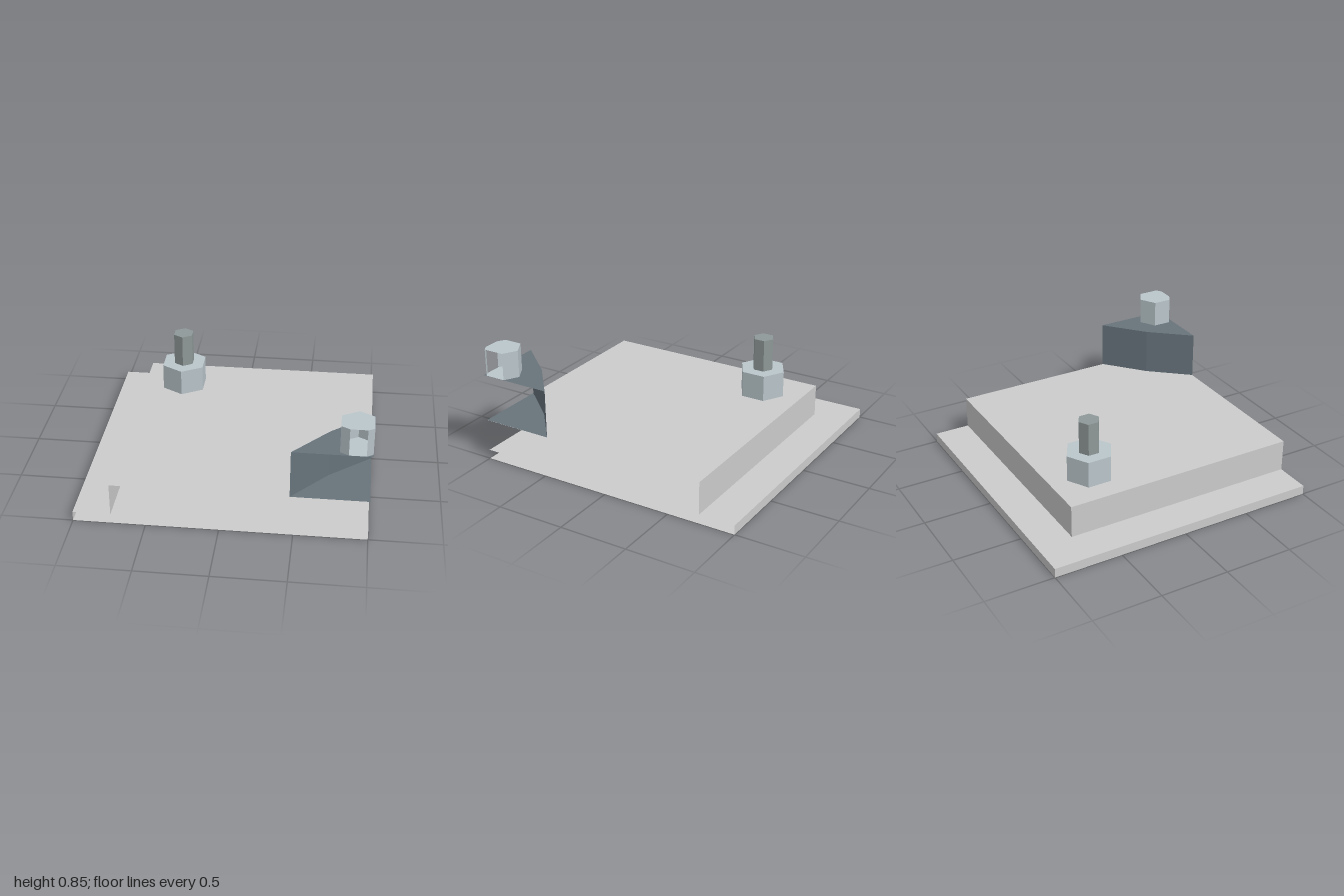
import * as THREE from 'three';

const material = (color) =>
  new THREE.MeshStandardMaterial({ color, flatShading: true, side: THREE.DoubleSide });

// True when an edge lies on one of the two open cut planes, x = 1 or z = 1.
const isCut = (a, b) => (a[0] === 1 && b[0] === 1) || (a[1] === 1 && b[1] === 1);

// Hollow prism over a convex [x, z] outline (counter-clockwise from above),
// left open wherever it meets a cut plane.
function cutPrism(name, outline, y0, y1, mat, hasFloor = true) {
  const pos = [];
  const tri = (...corners) => corners.forEach(([p, y]) => pos.push(p[0], y, p[1]));
  outline.forEach((a, i) => {
    const b = outline[(i + 1) % outline.length];
    if (!isCut(a, b)) {
      tri([a, y0], [b, y0], [b, y1]);
      tri([a, y0], [b, y1], [a, y1]);
    }
    if (i > 0 && i < outline.length - 1) {
      tri([outline[0], y1], [a, y1], [b, y1]);
      if (hasFloor) tri([outline[0], y0], [b, y0], [a, y0]);
    }
  });
  const geometry = new THREE.BufferGeometry();
  geometry.setAttribute('position', new THREE.Float32BufferAttribute(pos, 3));
  geometry.computeVertexNormals();
  const mesh = new THREE.Mesh(geometry, mat);
  mesh.name = name;
  return mesh;
}

// Whole hexagonal prism with its points towards +z and -z.
function hexPrism(name, radius, y0, y1, x, z, mat) {
  const mesh = new THREE.Mesh(new THREE.CylinderGeometry(radius, radius, y1 - y0, 6), mat);
  mesh.position.set(x, (y0 + y1) / 2, z);
  mesh.name = name;
  return mesh;
}

export function createModel() {
  const group = new THREE.Group();
  group.name = 'cornerPlate';
  const grey = material(0xcccccc);
  const slate = material(0x67737b);
  const steel = material(0xbac6cb);
  const darkSteel = material(0x8f9898);

  // Stepped plate, open along the two cut sides
  const square = (edge) => [[1, 1], [1, edge], [edge, edge], [edge, 1]];
  group.add(cutPrism('basePlate', square(-1), 0, 0.068, grey));
  group.add(cutPrism('raisedPlate', square(-0.738), 0.068, 0.305, grey, false));

  // Corner block, cut by both open sides
  group.add(cutPrism('cornerBlock',
    [[1, 1], [1, 0.472], [0.715, 0.715], [0.472, 1]], 0.306, 0.653, slate));

  // Hexagonal bolt head on the block, clipped by both open sides
  group.add(cutPrism('cornerBoltHead', [
    [1, 0.975], [1, 0.825], [0.9, 0.767], [0.785, 0.8335],
    [0.785, 0.9665], [0.843, 1], [0.957, 1],
  ], 0.654, 0.85, steel));

  // Nut and stud on the plate
  group.add(hexPrism('nut', 0.173, 0.307, 0.5, -0.437, -0.437, steel));
  group.add(hexPrism('stud', 0.078, 0.5, 0.74, -0.437, -0.437, darkSteel));

  return group;
}
